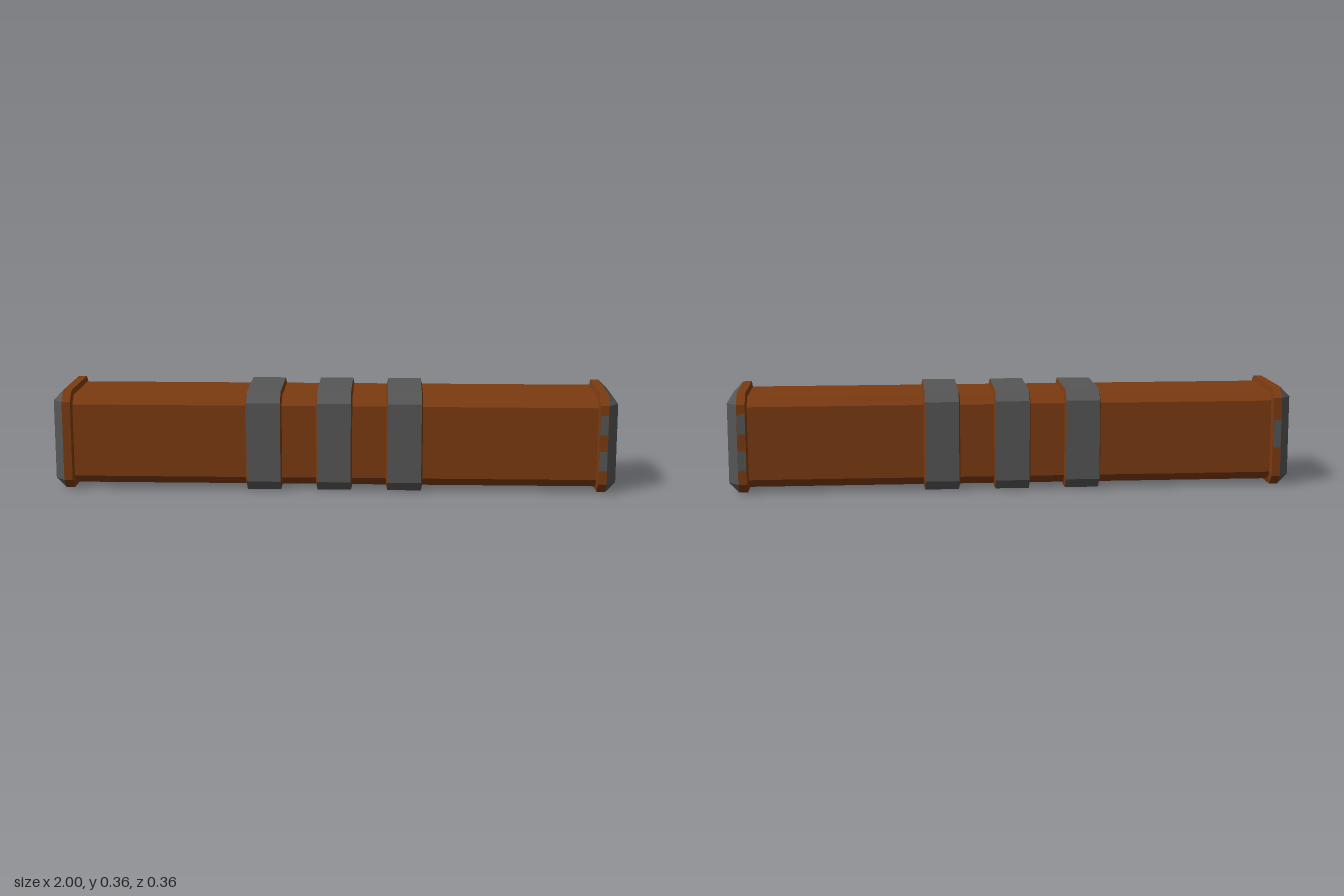
import * as THREE from 'three';

const CENTRE_Y = 0.178;

// Square cross-section with cut corners, counter-clockwise seen from +x
function ring([x, h, cut]) {
  const c = h - cut;
  return [[h, -c], [h, c], [c, h], [-c, h], [-h, c], [-h, -c], [-c, -h], [c, -h]]
    .map(([y, z]) => new THREE.Vector3(x, y, z));
}

// Flat-faced skin through sections [x, half size, corner cut], ordered by rising x
function loft(sections, startCap, endCap) {
  const pos = [];
  const tri = (a, b, c) => {
    const area = b.clone().sub(a).cross(c.clone().sub(a)).length();
    if (area > 1e-8) for (const p of [a, b, c]) pos.push(p.x, p.y, p.z);
  };
  const rings = sections.map(ring);
  for (let i = 0; i < rings.length - 1; i++) {
    const a = rings[i], b = rings[i + 1];
    for (let j = 0; j < 8; j++) {
      const k = (j + 1) % 8;
      tri(a[j], a[k], b[k]);
      tri(a[j], b[k], b[j]);
    }
  }
  const first = rings[0], last = rings[rings.length - 1];
  for (let j = 1; j < 7; j++) {
    if (startCap) tri(first[0], first[j + 1], first[j]);
    if (endCap) tri(last[0], last[j], last[j + 1]);
  }
  const geo = new THREE.BufferGeometry();
  geo.setAttribute('position', new THREE.Float32BufferAttribute(pos, 3));
  geo.computeVertexNormals();
  return geo;
}

export function createModel() {
  const model = new THREE.Group();
  model.name = 'bandedBeam';
  const wood = new THREE.MeshStandardMaterial({ color: 0x7b3b10 });
  wood.name = 'brown wood';
  const iron = new THREE.MeshStandardMaterial({ color: 0x565656 });
  iron.name = 'grey iron';

  const add = (parent, name, geo, mat) => {
    const mesh = new THREE.Mesh(geo, mat);
    mesh.name = name;
    parent.add(mesh);
    return mesh;
  };

  const body = new THREE.Group();
  body.name = 'body';
  body.position.y = CENTRE_Y;
  model.add(body);

  // Long beam
  add(body, 'beam', loft([[-0.94, 0.16, 0.03], [0.94, 0.16, 0.03]], true, true), wood);

  // Three bands: grey outside, brown sloping edges
  for (const x of [-0.25, 0, 0.25]) {
    const band = new THREE.Group();
    band.name = 'band';
    band.position.x = x;
    body.add(band);
    add(band, 'bandFace', loft([[-0.06, 0.178, 0.036], [0.06, 0.178, 0.036]]), iron);
    add(band, 'bandEdge', loft([[-0.065, 0.159, 0.03], [-0.06, 0.178, 0.036]]), wood);
    add(band, 'bandEdge', loft([[0.06, 0.178, 0.036], [0.065, 0.159, 0.03]]), wood);
  }

  // Ends: brown collar and bevelled grey cap
  for (const turn of [0, Math.PI]) {
    const end = new THREE.Group();
    end.name = turn ? 'rightEnd' : 'leftEnd';
    end.rotation.y = turn;
    body.add(end);
    add(end, 'collar', loft([[0.93, 0.159, 0.03], [0.935, 0.178, 0.036], [0.965, 0.178, 0.036]]), wood);
    add(end, 'endCap', loft([[0.965, 0.178, 0.036], [1, 0.142, 0]], false, true), iron);
  }

  // Small grey marks on the collars: x, y, side, height
  const marks = [
    [0.95, 0.25, 1, 0.07], [0.95, 0.12, 1, 0.07],
    [0.95, 0.25, -1, 0.07], [0.95, 0.12, -1, 0.07],
    [-0.95, 0.19, -1, 0.1],
  ];
  for (const [x, y, side, height] of marks) {
    const mark = add(model, 'collarMark', new THREE.BoxGeometry(0.028, height, 0.002), iron);
    mark.position.set(x, y, side * 0.178);
  }
  return model;
}
